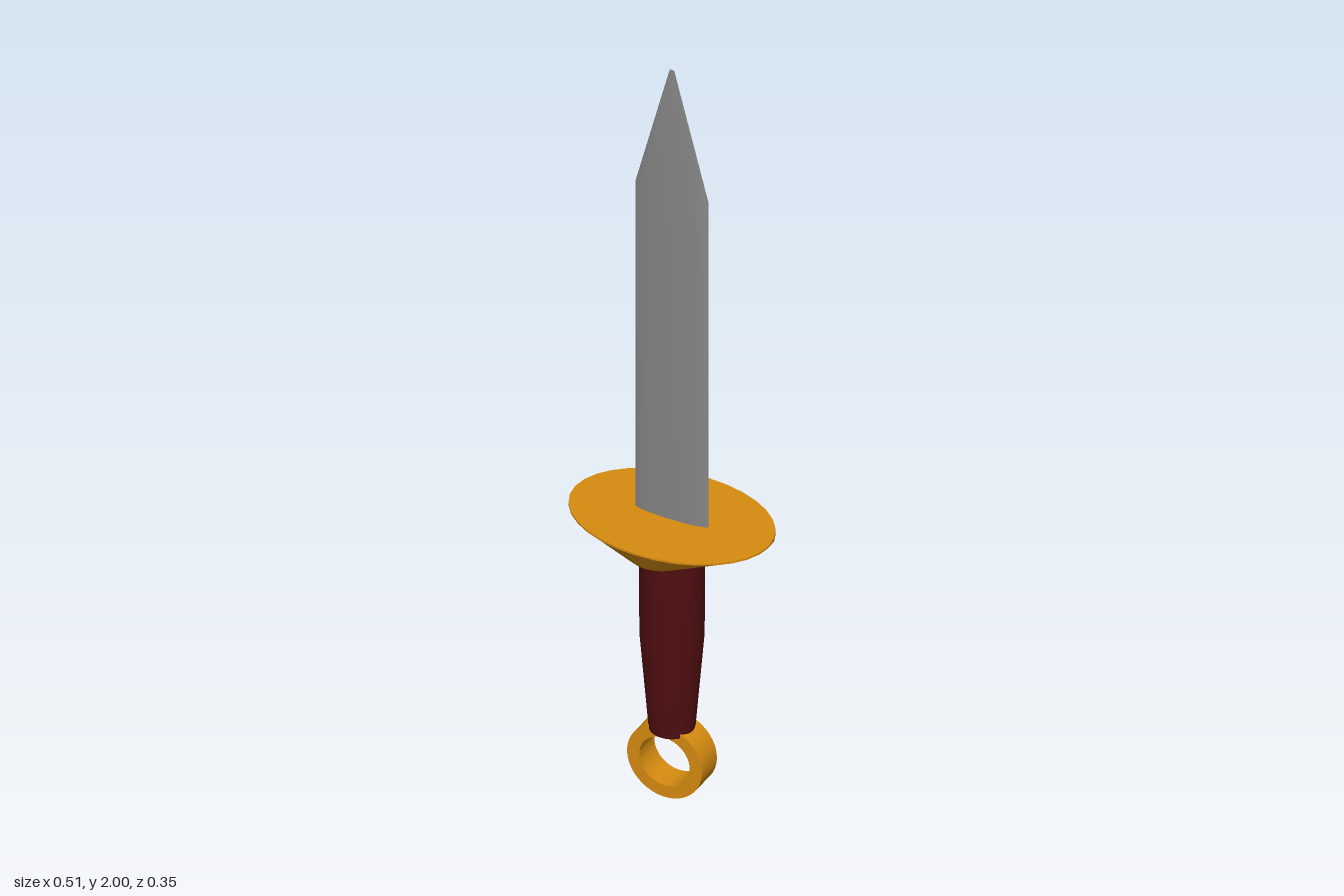
import * as THREE from 'three';
import { toCreasedNormals } from 'three/addons/utils/BufferGeometryUtils.js';

const mat = (name, color) => new THREE.MeshStandardMaterial({ name, color });

// Closed loft through rings of SEG points, listed bottom to top; ring(i)(angle) gives [x, y, z].
const SEG = 32;
function loft(rings) {
  const pos = [], idx = [];
  for (const ring of rings)
    for (let i = 0; i < SEG; i++) pos.push(...ring((i / SEG) * Math.PI * 2));
  for (let r = 0; r < rings.length - 1; r++)
    for (let i = 0; i < SEG; i++) {
      const j = (i + 1) % SEG;
      const a = r * SEG + i, b = r * SEG + j, c = a + SEG, d = b + SEG;
      idx.push(a, c, b, b, c, d);
    }
  const last = (rings.length - 1) * SEG;
  for (let i = 1; i < SEG - 1; i++) {
    idx.push(0, i, i + 1); // bottom cap
    idx.push(last, last + i + 1, last + i); // top cap
  }
  const g = new THREE.BufferGeometry();
  g.setAttribute('position', new THREE.Float32BufferAttribute(pos, 3));
  g.setIndex(idx);
  return toCreasedNormals(g, 0.5);
}

// Horizontal ellipse ring
const ellipse = (y, rx, rz, cz = 0) => (a) => [rx * Math.cos(a), y, cz + rz * Math.sin(a)];

export function createModel() {
  const steel = mat('steel', 0x858585);
  const gold = mat('gold', 0xd68b10);
  const leather = mat('dark red grip', 0x500e10);
  const model = new THREE.Group();
  model.name = 'dagger';
  const add = (name, geometry, material) => {
    const mesh = new THREE.Mesh(geometry, material);
    mesh.name = name;
    model.add(mesh);
  };

  // Blade: lens-like body with a straight taper to the point
  add('blade', loft([
    ellipse(0.74, 0.096, 0.014),
    ellipse(1.66, 0.096, 0.014),
    ellipse(2.0, 0.006, 0.001),
  ]), steel);

  // Guard: oval dish, with a thicker rim towards the back and its foot set forward
  const rim = (a) => [
    0.254 * Math.cos(a),
    0.755 - 0.025 * Math.max(0, -Math.sin(a)),
    0.176 * Math.sin(a),
  ];
  add('guard', loft([
    ellipse(0.69, 0.09, 0.1, 0.03),
    rim,
    ellipse(0.76, 0.254, 0.176),
  ]), gold);

  // Grip: straight upper half, tapered lower half
  add('grip', loft([
    ellipse(0.175, 0.054, 0.054),
    ellipse(0.44, 0.076, 0.074),
    ellipse(0.70, 0.077, 0.074),
  ]), leather);

  // Pommel ring: flat band with a square section
  const band = new THREE.Shape().absarc(0, 0, 0.098, 0, Math.PI * 2);
  band.holes.push(new THREE.Path().absarc(0, 0, 0.066, 0, Math.PI * 2, true));
  const ring = new THREE.ExtrudeGeometry(band, { depth: 0.072, bevelEnabled: false, curveSegments: 32 });
  ring.translate(0, 0.098, -0.036);
  add('pommelRing', toCreasedNormals(ring, 0.5), gold);

  return model;
}
